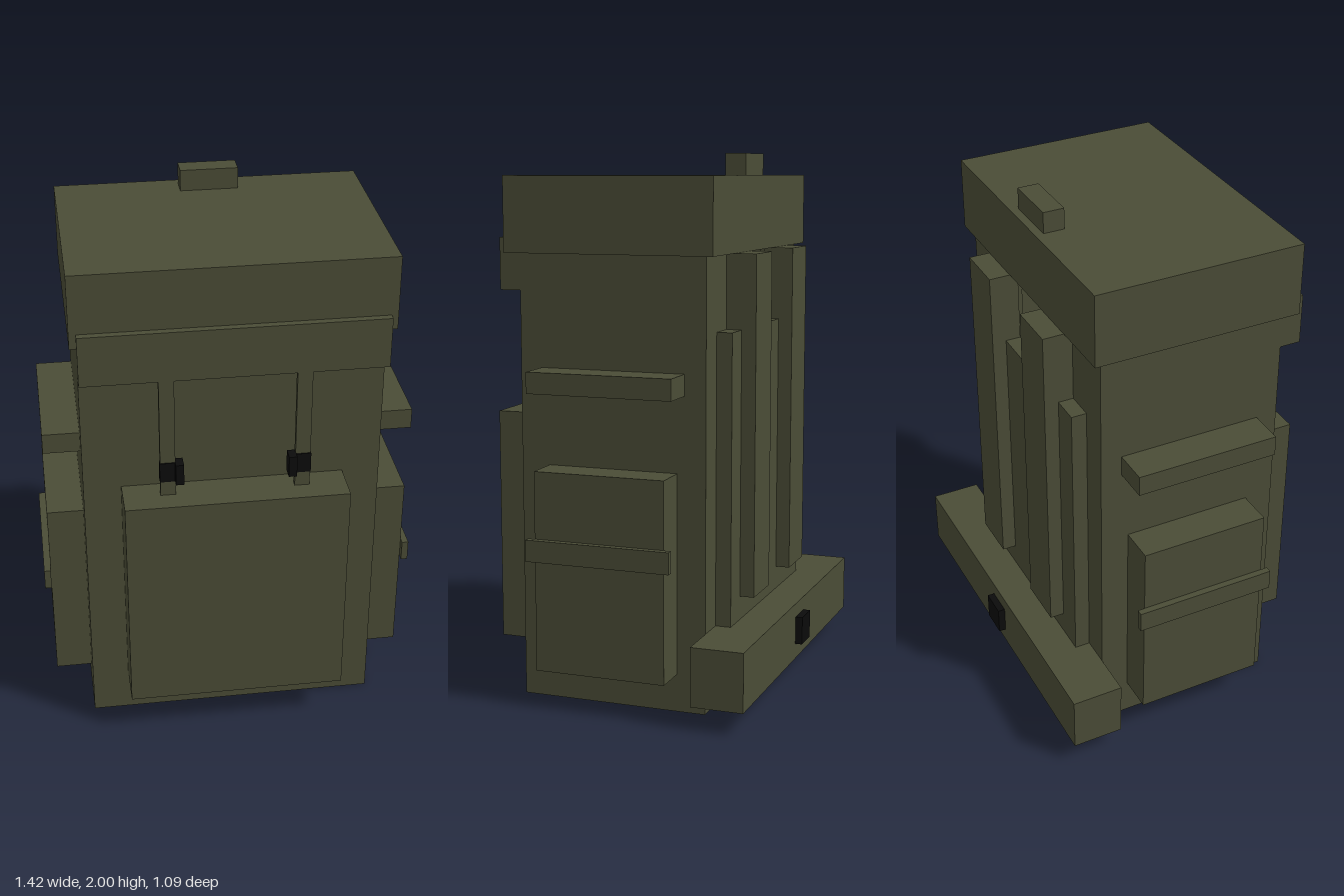
import * as THREE from 'three';

export function createModel() {
  const model = new THREE.Group();
  model.name = 'backpack';
  const canvas = new THREE.MeshStandardMaterial({ color: 0x4a4c36 });
  canvas.name = 'olive canvas';
  const plastic = new THREE.MeshStandardMaterial({ color: 0x0b0b0b });
  plastic.name = 'black plastic';

  // Box given by its extents on each axis
  const box = (name, [x0, x1], [y0, y1], [z0, z1], material = canvas) => {
    const mesh = new THREE.Mesh(new THREE.BoxGeometry(x1 - x0, y1 - y0, z1 - z0), material);
    mesh.position.set((x0 + x1) / 2, (y0 + y1) / 2, (z0 + z1) / 2);
    mesh.name = name;
    model.add(mesh);
    return mesh;
  };

  // Hollow main compartment
  const t = 0.02;
  box('bodyFront', [-0.548, 0.548], [0, 1.66], [0.385 - t, 0.385]);
  box('bodyFloor', [-0.548 + t, 0.548 - t], [0, t], [-0.325 + t, 0.385 - t]);

  // Back wall with the opening between the shoulder straps
  const wall = new THREE.Shape([[-0.548, 0], [0.548, 0], [0.548, 1.66], [-0.548, 1.66]]
    .map(([x, y]) => new THREE.Vector2(x, y)));
  wall.holes.push(new THREE.Path([[-0.15, 1.3], [-0.15, 1.645], [0.15, 1.645], [0.15, 1.3]]
    .map(([x, y]) => new THREE.Vector2(x, y))));
  const back = new THREE.Mesh(
    new THREE.ExtrudeGeometry(wall, { depth: t, bevelEnabled: false }), canvas);
  back.position.z = -0.325;
  back.name = 'bodyBack';
  model.add(back);

  // Lid, front flap and carry handle
  box('lid', [-0.573, 0.573], [1.645, 1.92], [-0.357, 0.438]);
  box('frontFlap', [-0.548, 0.548], [1.51, 1.7], [0.385, 0.465]);
  box('carryHandle', [-0.108, 0.108], [1.92, 2], [-0.325, -0.245]);

  // Front pocket
  box('frontPocket', [-0.41, 0.41], [0.168, 1.042], [0.385, 0.547]);

  // Back padding and hip belt
  box('backPad', [-0.435, 0.435], [0.28, 1.372], [-0.383, -0.325]);
  box('hipBelt', [-0.71, 0.71], [0.083, 0.3], [-0.52, -0.325]);
  box('hipBuckle', [-0.055, 0.055], [0.142, 0.248], [-0.547, -0.52], plastic);

  // Mirrored parts
  for (const side of [-1, 1]) {
    const span = (a, b) => (side > 0 ? [a, b] : [-b, -a]);
    const label = side > 0 ? 'left' : 'right';
    box(label + 'BodySide', span(0.548 - t, 0.548), [0, 1.66], [-0.325 + t, 0.385 - t]);
    box(label + 'ShoulderStrap', span(0.137, 0.328), [0.388, 1.645], [-0.437, -0.325]);
    box(label + 'SidePocket', span(0.548, 0.685), [0.14, 0.877], [-0.218, 0.276]);
    box(label + 'PocketBand', span(0.685, 0.71), [0.55, 0.63], [-0.245, 0.303]);
    box(label + 'CompressionStrap', span(0.548, 0.685), [1.155, 1.233], [-0.245, 0.303]);
    box(label + 'FlapStrap', span(0.218, 0.273), [1.04, 1.51], [0.443, 0.464]);
    box(label + 'BuckleBody', span(0.215, 0.275), [1.1, 1.178], [0.442, 0.468], plastic);
    box(label + 'BuckleTab', span(0.19, 0.22), [1.1, 1.182], [0.442, 0.494], plastic);
  }
  return model;
}
